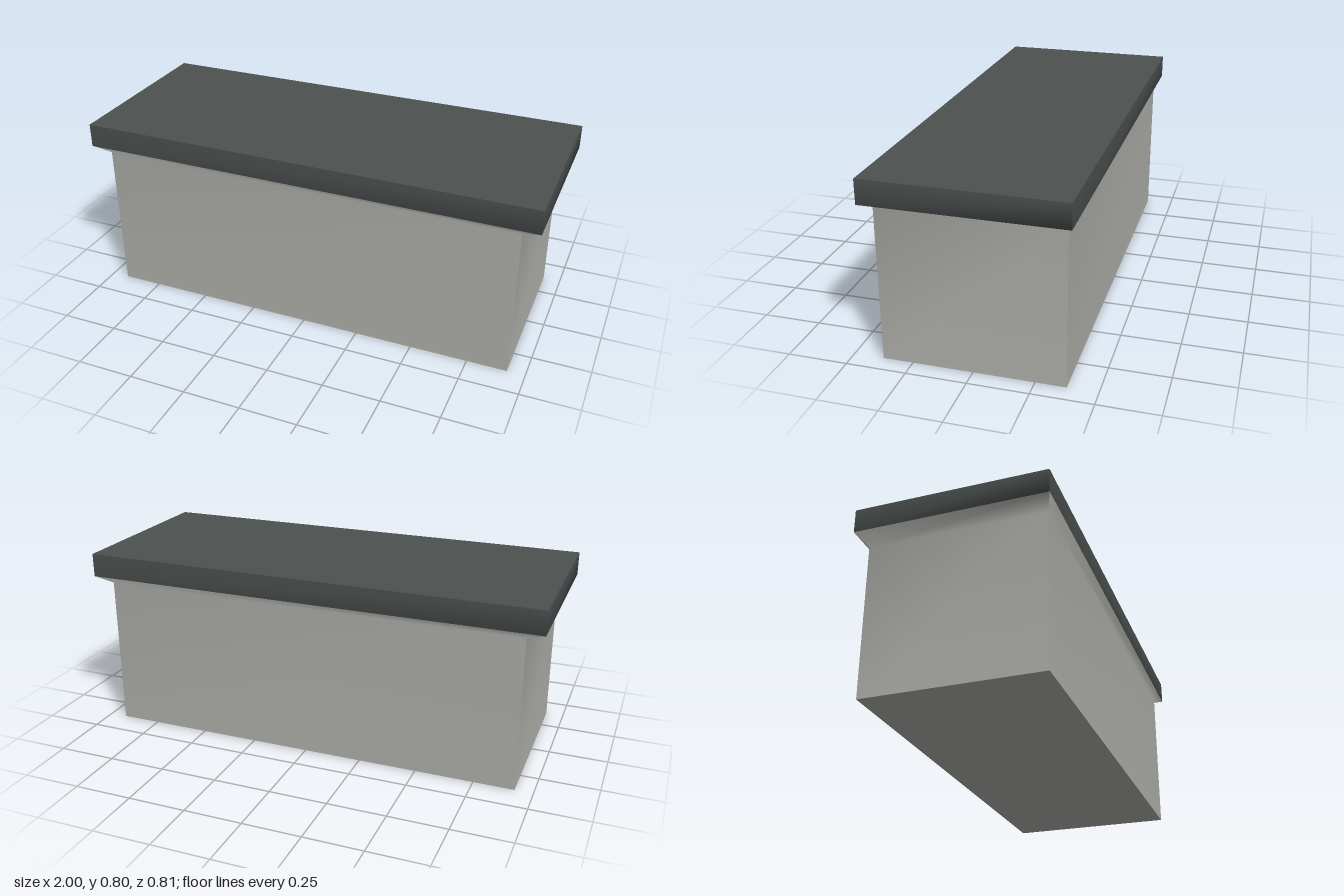
import * as THREE from 'three';

// Cross-sections from the floor up: [half width, height, half depth]
const rings = [
  [0.923, 0, 0.375],
  [0.923, 0.663, 0.375],
  [1, 0.693, 0.405],
  [1, 0.796, 0.405],
];
const corners = [[-1, 1], [1, 1], [1, -1], [-1, -1]];

export function createModel() {
  const stone = new THREE.MeshStandardMaterial({ color: 0xb1b1ad });
  stone.name = 'pale stone';
  const slate = new THREE.MeshStandardMaterial({ color: 0x4d5251 });
  slate.name = 'dark slate';

  // Four sides, each smooth from bottom to top but sharp at the corners
  const positions = [];
  const bandIndices = [[], [], []];
  for (let s = 0; s < 4; s++) {
    const start = positions.length / 3;
    for (const [hx, y, hz] of rings) {
      for (const [sx, sz] of [corners[s], corners[(s + 1) % 4]]) {
        positions.push(sx * hx, y, sz * hz);
      }
    }
    bandIndices.forEach((band, i) => {
      const a = start + i * 2;
      band.push(a, a + 1, a + 3, a, a + 3, a + 2);
    });
  }
  const shell = new THREE.BufferGeometry();
  shell.setAttribute('position', new THREE.Float32BufferAttribute(positions, 3));
  shell.setIndex(bandIndices.flat());
  shell.computeVertexNormals();

  const model = new THREE.Group();
  model.name = 'counter';
  const add = (name, geometry, material) => {
    const mesh = new THREE.Mesh(geometry, material);
    mesh.name = name;
    model.add(mesh);
    return mesh;
  };

  // Bands share the shell's normals so the shading flows across them
  const names = ['bodyWalls', 'flaredMoulding', 'slabEdge'];
  bandIndices.forEach((band, i) => {
    const geometry = shell.clone();
    geometry.setIndex(band);
    add(names[i], geometry, i === 2 ? slate : stone);
  });

  // Flat faces closing the top and the underside
  const [bottom, top] = [rings[0], rings[3]];
  const topFace = add('slabTop', new THREE.PlaneGeometry(top[0] * 2, top[2] * 2), slate);
  topFace.rotation.x = -Math.PI / 2;
  topFace.position.y = top[1];
  const baseFace = add('bodyUnderside', new THREE.PlaneGeometry(bottom[0] * 2, bottom[2] * 2), stone);
  baseFace.rotation.x = Math.PI / 2;

  return model;
}
